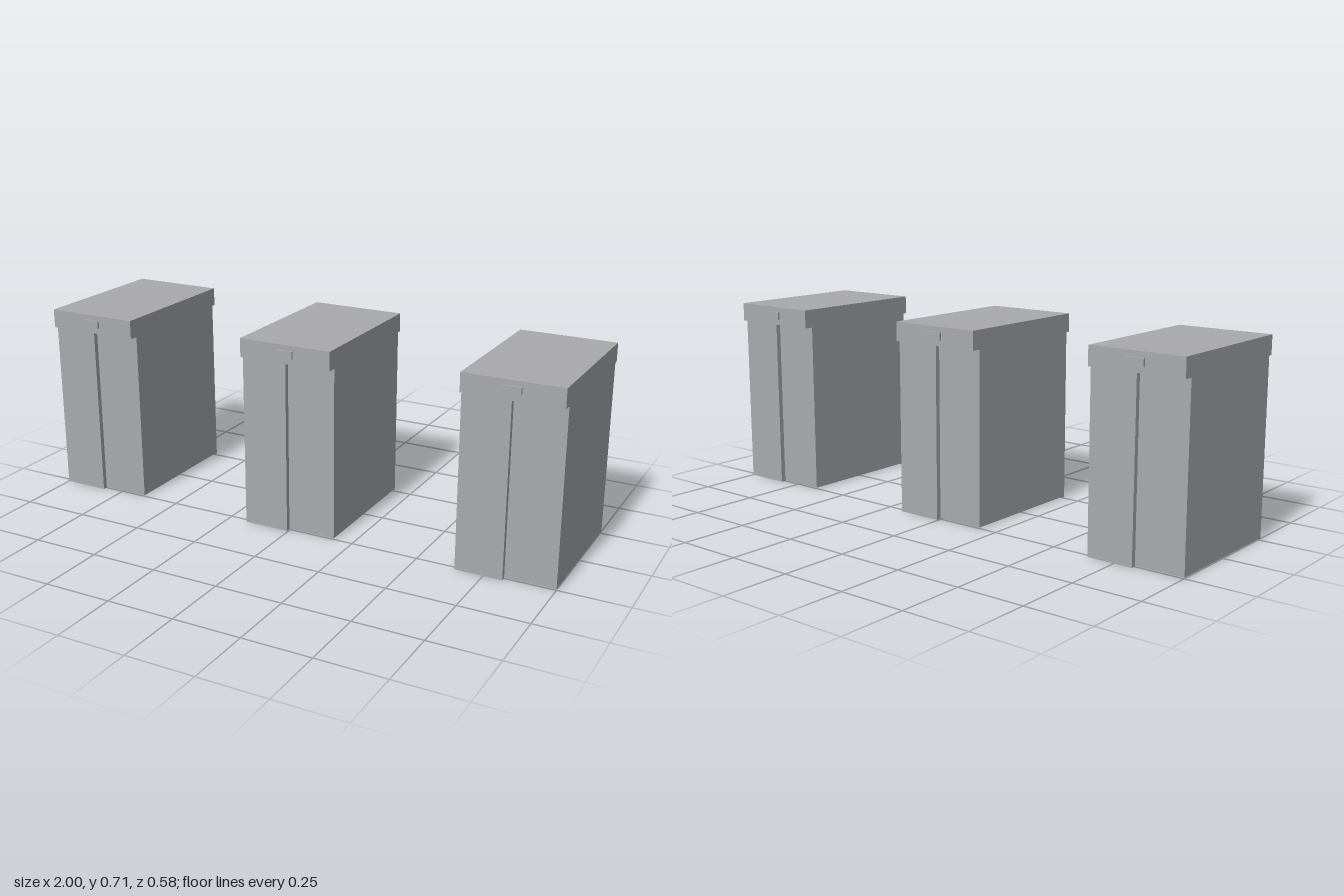
import * as THREE from 'three';

const grey = new THREE.MeshStandardMaterial({ color: 0xa9aaad });
grey.name = 'grey';

// Box given by its minimum and maximum corners
function box(name, min, max) {
  const size = max.map((v, i) => v - min[i]);
  const mesh = new THREE.Mesh(new THREE.BoxGeometry(...size), grey);
  mesh.position.set(...max.map((v, i) => (v + min[i]) / 2));
  mesh.name = name;
  return mesh;
}

const W = 0.1765; // half width of a cabinet

function createCabinet() {
  const cabinet = new THREE.Group();
  cabinet.name = 'cabinet';
  cabinet.add(
    box('body', [-W, 0.003, -0.248], [W, 0.637, 0.248]),
    box('lid', [-W, 0.637, -0.282], [W, 0.706, 0.282])
  );
  // Raised half panel and handle, repeated at the back by a half turn
  for (const end of ['front', 'back']) {
    const face = new THREE.Group();
    face.name = end + 'Face';
    face.add(
      box('raisedPanel', [-W, 0, 0.248], [-0.005, 0.637, 0.266]),
      box('handle', [-0.033, 0.659, 0.282], [0.033, 0.687, 0.29])
    );
    if (end === 'back') face.rotation.y = Math.PI;
    cabinet.add(face);
  }
  return cabinet;
}

export function createModel() {
  const model = new THREE.Group();
  model.name = 'cabinetRow';
  for (const x of [-1 + W, 0, 1 - W]) {
    const cabinet = createCabinet();
    cabinet.position.x = x;
    model.add(cabinet);
  }
  return model;
}
